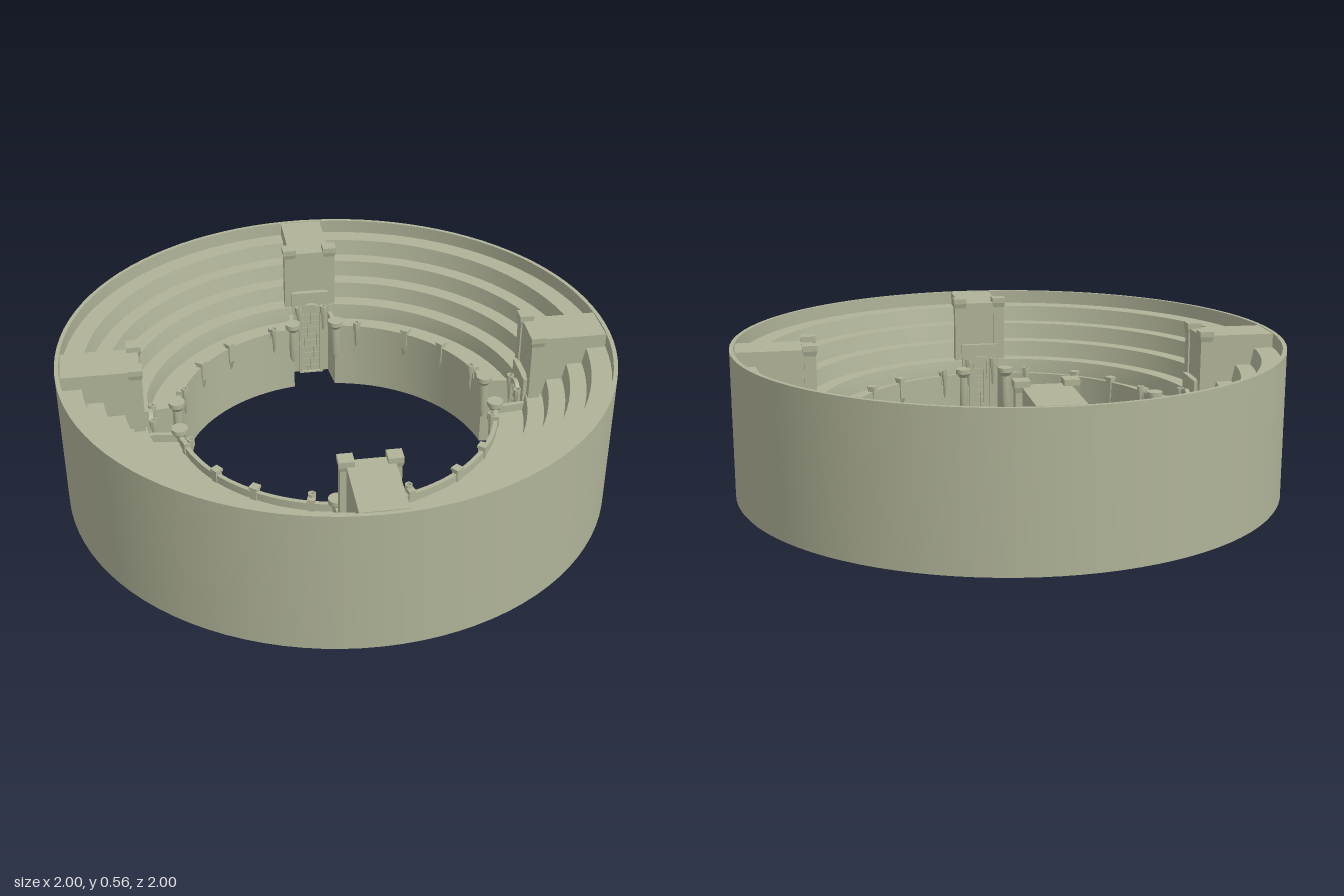
import * as THREE from 'three';
import { toCreasedNormals } from 'three/addons/utils/BufferGeometryUtils.js';

const stone = new THREE.MeshStandardMaterial({ color: 0xb0b398 });
stone.name = 'stone';

function add(parent, name, geometry, x = 0, y = 0, z = 0) {
  const mesh = new THREE.Mesh(geometry, stone);
  mesh.name = name;
  mesh.position.set(x, y, z);
  parent.add(mesh);
  return mesh;
}

const vec = (list) => list.map(([x, y]) => new THREE.Vector2(x, y));
const lathe = (list, sides) => toCreasedNormals(new THREE.LatheGeometry(vec(list), sides), 0.5);

// Upright slab from a ground outline
function slab(points, y0, y1) {
  const g = new THREE.ExtrudeGeometry(new THREE.Shape(points), { depth: y1 - y0, bevelEnabled: false });
  g.rotateX(-Math.PI / 2);
  g.translate(0, y0, 0);
  return toCreasedNormals(g, 0.5);
}

// Edge of one quadrant: notch side, inner arc, next notch side
function innerEdge(radius, side, back) {
  const start = Math.asin((side + 0.013) / radius);
  const points = [[side, back]];
  for (let i = 0; i <= 24; i++) {
    const a = start + (Math.PI / 2 - 2 * start) * i / 24;
    points.push([radius * Math.sin(a), radius * Math.cos(a)]);
  }
  points.push([back, side]);
  return vec(points);
}

// Arch outline, flat at the bottom
function arch(Type, half, bottom, spring) {
  const p = new Type();
  p.moveTo(-half, bottom);
  p.lineTo(half, bottom);
  p.lineTo(half, spring);
  p.absarc(0, spring, half, 0, Math.PI, false);
  p.closePath();
  return p;
}

const torch = () => lathe([[0, 0], [0.005, 0.01], [0.008, 0.07], [0.014, 0.09],
  [0.014, 0.115], [0.009, 0.115], [0.007, 0.095], [0, 0.095]], 8);

function makeQuadrant() {
  const q = new THREE.Group();
  q.name = 'innerQuadrant';

  // Lowest terrace above the arena wall
  const edge = innerEdge(0.58, 0.07, 0.693);
  const outline = [...edge];
  for (let i = 0; i <= 16; i++) {
    const a = Math.PI / 2 - 0.1 - (Math.PI / 2 - 0.2) * i / 16;
    outline.push(new THREE.Vector2(0.7 * Math.sin(a), 0.7 * Math.cos(a)));
  }
  add(q, 'arenaWall', slab(outline, 0, 0.245));

  // Thin parapet along the edge
  const rail = [...edge, ...innerEdge(0.596, 0.086, 0.693).reverse()];
  add(q, 'parapet', slab(rail, 0.245, 0.275));

  // Round pillars at the notch corners
  const pillar = lathe([[0, 0.1], [0.018, 0.15], [0.018, 0.262], [0.03, 0.278],
    [0.03, 0.296], [0, 0.296]], 20);
  add(q, 'cornerPillar', pillar, 0.086, 0, -0.58);
  add(q, 'cornerPillar', pillar, 0.58, 0, -0.086);

  // Small parapet posts and torches along the wall
  [16.9, 36.7, 53.3, 73.1].forEach((deg, i) => {
    const a = THREE.MathUtils.degToRad(deg);
    const holder = new THREE.Group();
    holder.name = 'wallFitting';
    holder.rotation.y = -a;
    q.add(holder);
    if (i === 1 || i === 2) {
      add(holder, 'wallPost', new THREE.BoxGeometry(0.024, 0.07, 0.026), 0, 0.25, -0.587);
      const tip = new THREE.ConeGeometry(0.015, 0.06, 4);
      tip.rotateY(Math.PI / 4);
      tip.rotateX(Math.PI);
      add(holder, 'wallPostTip', tip, 0, 0.185, -0.584);
      add(holder, 'wallPostCap', new THREE.BoxGeometry(0.032, 0.01, 0.032), 0, 0.29, -0.587);
    } else {
      add(holder, 'torchBracket', new THREE.BoxGeometry(0.026, 0.05, 0.024), 0, 0.265, -0.588);
      add(holder, 'torch', torch(), 0, 0.185, -0.57);
    }
  });
  return q;
}

function makeGate() {
  const g = new THREE.Group();
  g.name = 'gate';

  // Bridge block across the seating and the wall holding the door
  add(g, 'gateBlock', new THREE.BoxGeometry(0.16, 0.53, 0.275), 0, 0.275, 0.8425);
  add(g, 'doorWall', new THREE.BoxGeometry(0.15, 0.37, 0.025), 0, 0.185, 0.6975);

  // Arched door surround
  const surround = arch(THREE.Shape, 0.048, 0.001, 0.275);
  surround.holes.push(arch(THREE.Path, 0.036, 0.006, 0.275));
  const frame = new THREE.ExtrudeGeometry(surround, { depth: 0.016, bevelEnabled: false, curveSegments: 16 });
  add(g, 'doorFrame', toCreasedNormals(frame, 0.5), 0, 0, 0.67);

  // Portcullis bars
  for (let i = -2; i <= 2; i++) {
    const h = 0.275 + Math.sqrt(0.036 ** 2 - (i * 0.013) ** 2);
    add(g, 'gateBar', new THREE.BoxGeometry(0.004, h, 0.004), i * 0.013, h / 2, 0.679);
  }
  for (let y = 0.03; y < 0.29; y += 0.03) {
    add(g, 'gateCrossbar', new THREE.BoxGeometry(0.07, 0.004, 0.004), 0, y, 0.682);
  }

  for (const s of [-1, 1]) {
    // Tall capped posts on the seating side
    add(g, 'gatePost', new THREE.BoxGeometry(0.042, 0.33, 0.042), s * 0.08, 0.365, 0.72);
    const flare = new THREE.CylinderGeometry(0.037, 0.029, 0.02, 4);
    flare.rotateY(Math.PI / 4);
    add(g, 'gatePostFlare', flare.toNonIndexed(), s * 0.08, 0.53, 0.72).geometry.computeVertexNormals();
    add(g, 'gatePostCap', new THREE.BoxGeometry(0.052, 0.02, 0.052), s * 0.08, 0.55, 0.72);
    // Torches beside the door
    add(g, 'doorTorch', torch(), s * 0.05, 0.2, 0.671);
  }
  return g;
}

export function createModel() {
  const model = new THREE.Group();
  model.name = 'arena';

  // Outer wall, rim and stepped seating as one ring
  const profile = [[0.69, 0], [1, 0], [1, 0.54], [0.985, 0.54], [0.985, 0.488]];
  const risers = [0.913, 0.843, 0.772, 0.7];
  risers.forEach((r, i) => {
    const y = 0.488 - i * 0.061;
    profile.push([r, y], [r - 0.012, y - 0.061]);
  });
  profile[profile.length - 1] = [0.69, 0.244];
  profile.push([0.69, 0]);
  add(model, 'seatingRing', lathe(profile, 96));

  // Four quadrants of arena wall and four gates
  for (let i = 0; i < 4; i++) {
    const quadrant = makeQuadrant();
    const gate = makeGate();
    gate.traverse((o) => { if (o.name === 'doorFrame') o.renderOrder = 0; });
    quadrant.rotation.y = gate.rotation.y = i * Math.PI / 2;
    model.add(quadrant, gate);
  }
  return model;
}
